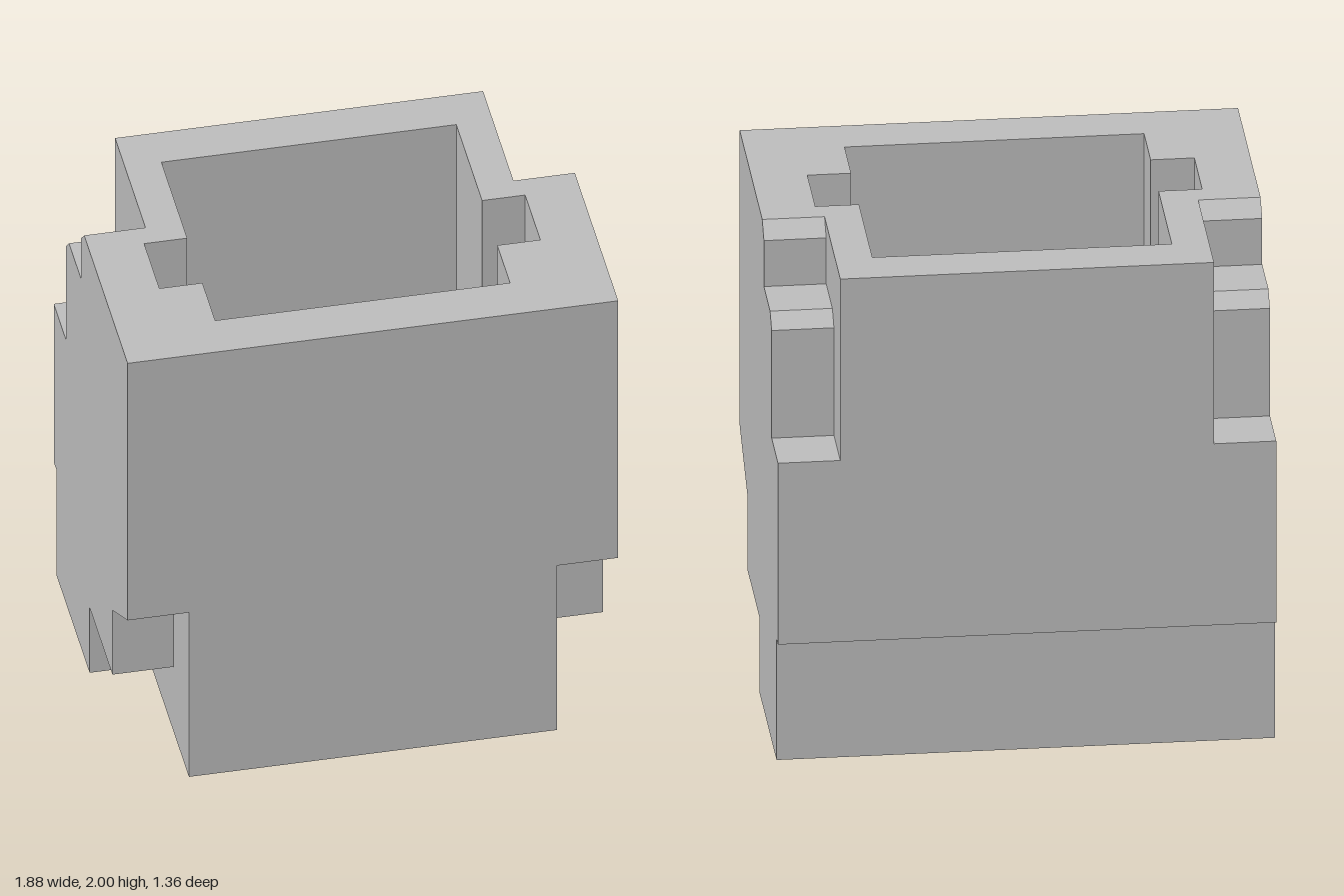
import * as THREE from 'three';

// Profiles are [z, y] points, starting at the front top corner; the top edge
// runs from the first point to the second so a pocket can be cut into it.
const coreProfile = [
  [0.68, 2], [-0.68, 2], [-0.68, 0.5], [-0.63, 0.5], [-0.63, 0], [0.68, 0],
];
const sideProfile = [
  [0.68, 2], [-0.12, 2], [-0.18, 1.94], [-0.18, 1.75], [-0.4, 1.75], [-0.455, 1.695],
  [-0.455, 1.25], [-0.68, 1.25], [-0.68, 0.5], [-0.63, 0.5], [-0.63, 0],
  [-0.02, 0], [-0.02, 0.31], [0.4, 0.31], [0.4, 0.615], [0.68, 0.78],
];
const FLOOR = 0.4;

// Cut an open-topped pocket between two depths into a profile
function withPocket(profile, front, back) {
  const [first, ...rest] = profile;
  return [first, [front, 2], [front, FLOOR], [back, FLOOR], [back, 2], ...rest];
}

// Extrude a profile across the width from x0 to x1
function slice(name, profile, x0, x1, material) {
  const shape = new THREE.Shape(profile.map(([z, y]) => new THREE.Vector2(z, y)));
  const geometry = new THREE.ExtrudeGeometry(shape, { depth: x1 - x0, bevelEnabled: false });
  geometry.rotateY(-Math.PI / 2);
  geometry.translate(x1, 0, 0);
  const mesh = new THREE.Mesh(geometry, material);
  mesh.name = name;
  return mesh;
}

export function createModel() {
  const grey = new THREE.MeshStandardMaterial({ color: 0xc0c0c0 });
  grey.name = 'housing grey';

  const model = new THREE.Group();
  model.name = 'socketHousing';

  // Centre of the housing with the main cavity
  model.add(slice('centreBody', withPocket(coreProfile, 0.49, -0.5), -0.565, 0.565, grey));

  // Side walls, key slots and stepped outer flanks, mirrored
  const slotted = (profile) => withPocket(profile, 0.255, -0.025);
  const layers = [
    ['SideWall', slotted(coreProfile), 0.565, 0.705],
    ['SlotWall', slotted(sideProfile), 0.705, 0.73],
    ['SteppedFlank', sideProfile, 0.73, 0.94],
  ];
  for (const [name, profile, near, far] of layers) {
    model.add(slice('left' + name, profile, near, far, grey));
    model.add(slice('right' + name, profile, -far, -near, grey));
  }
  return model;
}
